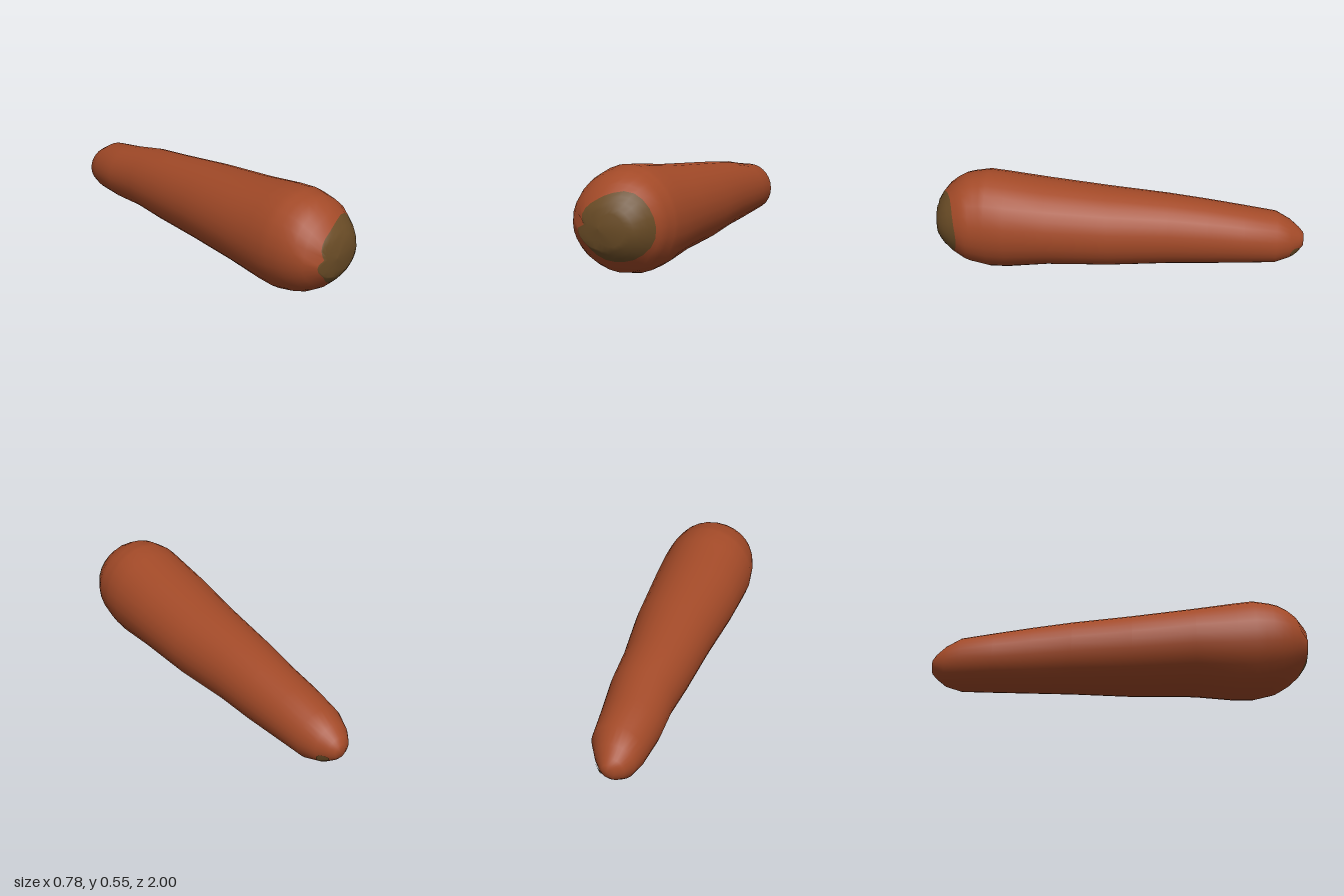
import * as THREE from 'three';

// Sections along the root: [distance, left, right, bottom, top]
const SECTIONS = [
  [-1.04, -0.07, -0.07, 0.16, 0.16],
  [-1.035, -0.11, -0.04, 0.12, 0.2],
  [-1.01, -0.15, -0.015, 0.09, 0.225],
  [-0.96, -0.185, 0.025, 0.05, 0.27],
  [-0.88, -0.21, 0.075, 0.03, 0.32],
  [-0.7, -0.226, 0.1, 0.028, 0.35],
  [-0.5, -0.222, 0.13, 0.03, 0.39],
  [-0.28, -0.238, 0.147, 0.025, 0.42],
  [0.04, -0.253, 0.196, 0.02, 0.46],
  [0.38, -0.28, 0.225, 0.02, 0.5],
  [0.6, -0.283, 0.238, 0.0, 0.535],
  [0.7, -0.285, 0.237, 0.0, 0.547],
  [0.82, -0.267, 0.222, 0.03, 0.53],
  [0.9, -0.235, 0.18, 0.08, 0.485],
  [0.95, -0.2, 0.145, 0.13, 0.43],
  [0.985, -0.15, 0.09, 0.18, 0.37],
  [0.997, -0.03, -0.03, 0.28, 0.28],
];
const SIDES = 28;
const END = 0.997;
const YAW = 0.21;

// Point on the skin at distance s along the root and angle a around it
function skinPoint(s, a) {
  let i = 0;
  while (i < SECTIONS.length - 2 && s > SECTIONS[i + 1][0]) i++;
  const [p, q] = [SECTIONS[i], SECTIONS[i + 1]];
  const k = THREE.MathUtils.clamp((s - p[0]) / (q[0] - p[0]), 0, 1);
  const [, l, r, b, t] = p.map((v, j) => THREE.MathUtils.lerp(v, q[j], k));
  const side = (l + r) / 2 + ((r - l) / 2) * Math.cos(a);
  const y = (b + t) / 2 + ((t - b) / 2) * Math.sin(a);
  return new THREE.Vector3(side, y, s).applyAxisAngle(new THREE.Vector3(0, 1, 0), YAW);
}

// Uneven edge of the crown, reaching further back on one side
function crownEdge(a) {
  const c = Math.cos(a);
  return 0.945 - 0.0625 * c - 0.0225 * c * c + 0.004 * Math.sin(5 * a);
}

function createRoot(skin, crown) {
  // Each row gives the distance along the root for an angle
  const rows = SECTIONS.filter((p) => p[0] <= 0.7).map((p) => () => p[0]);
  for (let k = 1; k <= 6; k++) rows.push((a) => THREE.MathUtils.lerp(0.7, crownEdge(a), k / 6));
  const edgeRow = rows.length - 1;
  for (let k = 1; k <= 6; k++) {
    rows.push((a) => THREE.MathUtils.lerp(crownEdge(a), END, Math.sin((k / 6) * Math.PI / 2)));
  }
  const last = rows.length - 1;

  const positions = [];
  for (const row of rows) {
    for (let c = 0; c < SIDES; c++) {
      const a = (c / SIDES) * Math.PI * 2;
      positions.push(...skinPoint(row(a), a).toArray());
    }
  }
  // The first and last rows collapse to one shared tip vertex
  const id = (r, c) => r * SIDES + (r === 0 || r === last ? 0 : c % SIDES);
  const index = [];
  let split = 0;
  for (let r = 0; r < last; r++) {
    if (r === edgeRow) split = index.length;
    for (let c = 0; c < SIDES; c++) {
      if (r > 0) index.push(id(r, c), id(r, c + 1), id(r + 1, c + 1));
      if (r < last - 1) index.push(id(r, c), id(r + 1, c + 1), id(r + 1, c));
    }
  }
  const geometry = new THREE.BufferGeometry();
  geometry.setAttribute('position', new THREE.Float32BufferAttribute(positions, 3));
  geometry.setIndex(index);
  geometry.addGroup(0, split, 0);
  geometry.addGroup(split, index.length - split, 1);
  geometry.computeVertexNormals();
  const mesh = new THREE.Mesh(geometry, [skin, crown]);
  mesh.name = 'carrotRoot';
  return mesh;
}

// Small blemish lying just over the skin near the tip
function createSpot(material) {
  const core = new THREE.Vector3(-0.06, 0.17, -0.92).applyAxisAngle(new THREE.Vector3(0, 1, 0), YAW);
  const lift = (s, a) => skinPoint(s, a).sub(core).multiplyScalar(1.05).add(core).toArray();
  const positions = lift(-0.985, -0.5);
  const index = [];
  const n = 12;
  for (let i = 0; i < n; i++) {
    const a = (i / n) * Math.PI * 2;
    positions.push(...lift(-0.985 + 0.026 * Math.sin(a), -0.5 + 0.3 * Math.cos(a)));
    index.push(0, 1 + ((i + 1) % n), 1 + i);
  }
  const geometry = new THREE.BufferGeometry();
  geometry.setAttribute('position', new THREE.Float32BufferAttribute(positions, 3));
  geometry.setIndex(index);
  geometry.computeVertexNormals();
  const mesh = new THREE.Mesh(geometry, material);
  mesh.name = 'tipSpot';
  return mesh;
}

export function createModel() {
  const skin = new THREE.MeshStandardMaterial({ color: 0xa34a28 });
  skin.name = 'carrot orange';
  const crown = new THREE.MeshStandardMaterial({ color: 0x6a4c26 });
  crown.name = 'crown brown';
  crown.side = THREE.DoubleSide;

  const group = new THREE.Group();
  group.name = 'carrot';
  group.add(createRoot(skin, crown), createSpot(crown));
  return group;
}
